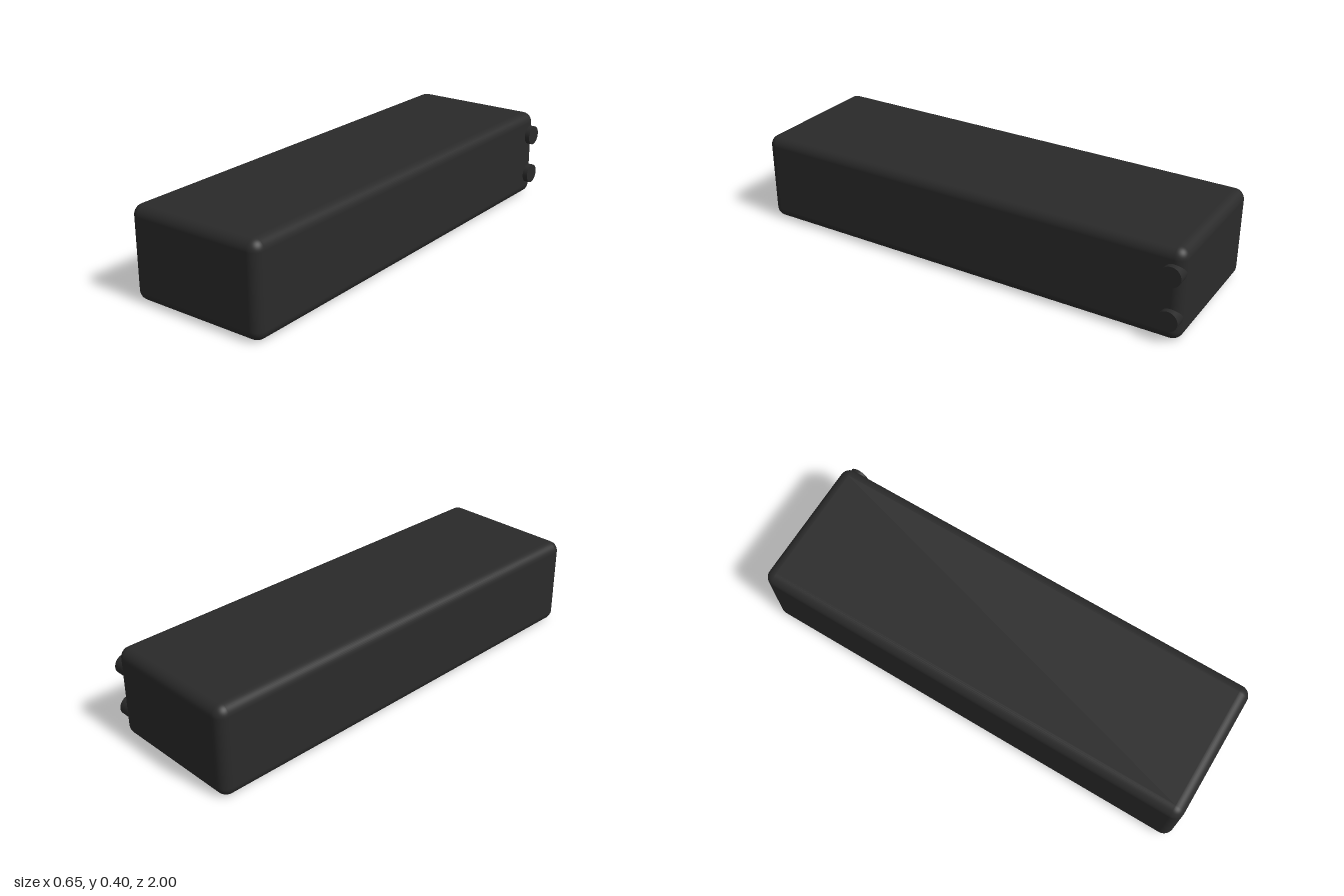
import * as THREE from 'three';
import { RoundedBoxGeometry } from 'three/addons/geometries/RoundedBoxGeometry.js';

export function createModel() {
  const model = new THREE.Group();
  model.name = 'roundedCase';
  const material = new THREE.MeshStandardMaterial({ color: 0x2a2a2a });

  // Long case with softly rounded edges
  const body = new THREE.Mesh(new RoundedBoxGeometry(0.632, 0.398, 2, 6, 0.045), material);
  body.name = 'body';
  body.position.set(-0.012, 0.199, 0);
  model.add(body);

  // Two round buttons on the left side, close to the back edge
  const inner = 0.26, outer = 0.327;
  const buttonGeometry = new THREE.CylinderGeometry(0.0435, 0.0435, outer - inner, 32);
  buttonGeometry.rotateZ(-Math.PI / 2);
  [['lowerButton', 0.103], ['upperButton', 0.295]].forEach(([name, y]) => {
    const button = new THREE.Mesh(buttonGeometry, material);
    button.name = name;
    button.position.set((inner + outer) / 2, y, -0.955);
    model.add(button);
  });

  return model;
}
